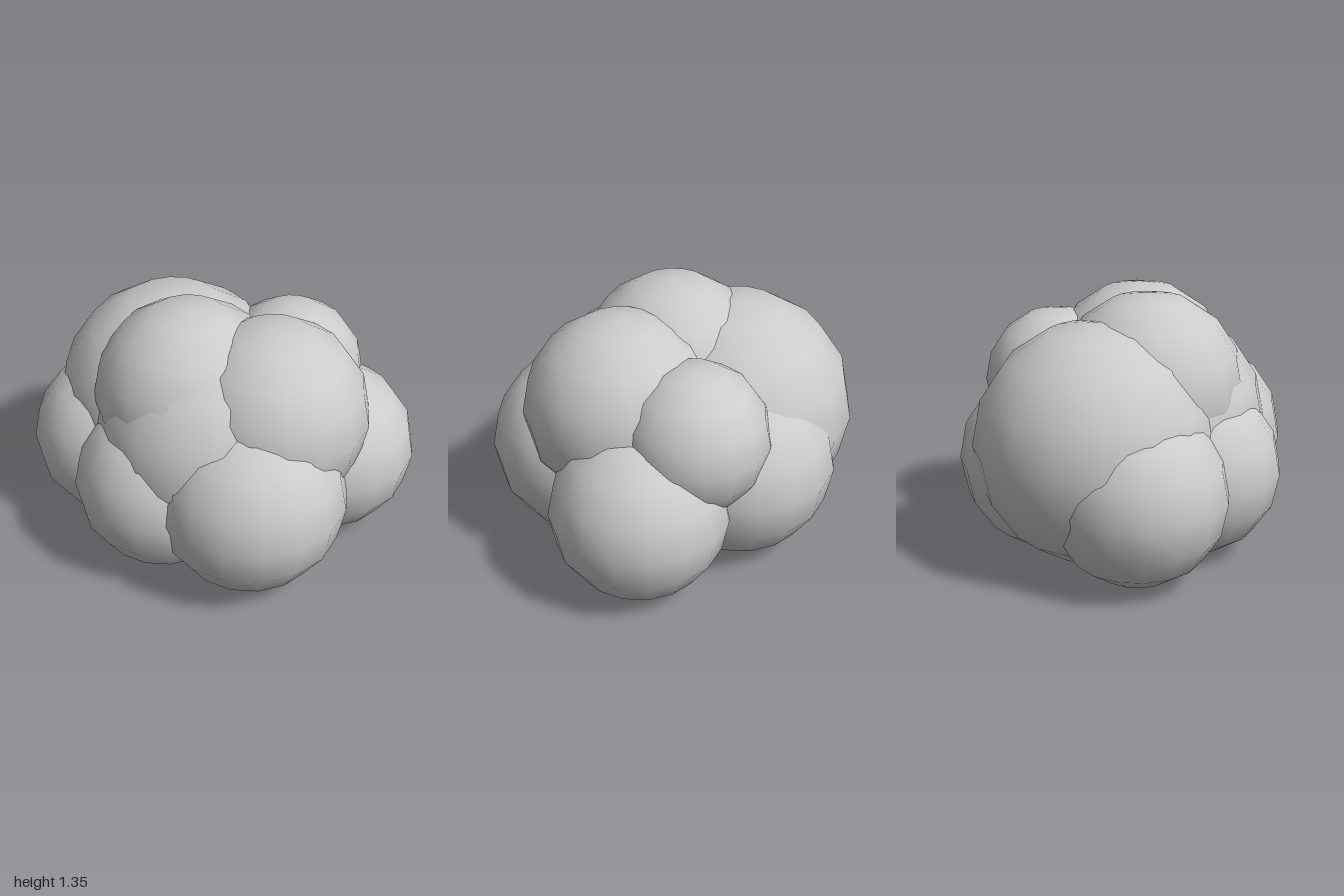
import * as THREE from 'three';

// One rounded puff: name, centre x, y, z and radius
const PUFFS = [
  // core
  ['coreFront', 0, 0.65, 0.12, 0.6],
  ['coreBackRight', -0.29, 0.64, -0.18, 0.61],
  // lower ring
  ['lowerFrontLeft', 0.27, 0.495, 0.37, 0.49],
  ['lowerFrontRight', -0.2, 0.455, 0.32, 0.45],
  ['lowerRight', -0.55, 0.455, 0, 0.45],
  ['lowerLeft', 0.55, 0.455, -0.2, 0.45],
  ['lowerBack', -0.06, 0.495, -0.37, 0.49],
  // upper puffs
  ['upperRight', -0.12, 0.865, 0.1, 0.485],
  ['upperLeft', 0.31, 0.82, 0.1, 0.49],
  ['upperBackLeft', 0.3, 0.8, -0.34, 0.38],
];

export function createModel() {
  const group = new THREE.Group();
  group.name = 'puffCluster';
  const material = new THREE.MeshStandardMaterial({ color: 0xcccccc });
  for (const [name, x, y, z, radius] of PUFFS) {
    const puff = new THREE.Mesh(new THREE.SphereGeometry(radius, 16, 8), material);
    puff.name = name + 'Puff';
    puff.position.set(x, y, z);
    group.add(puff);
  }
  return group;
}
